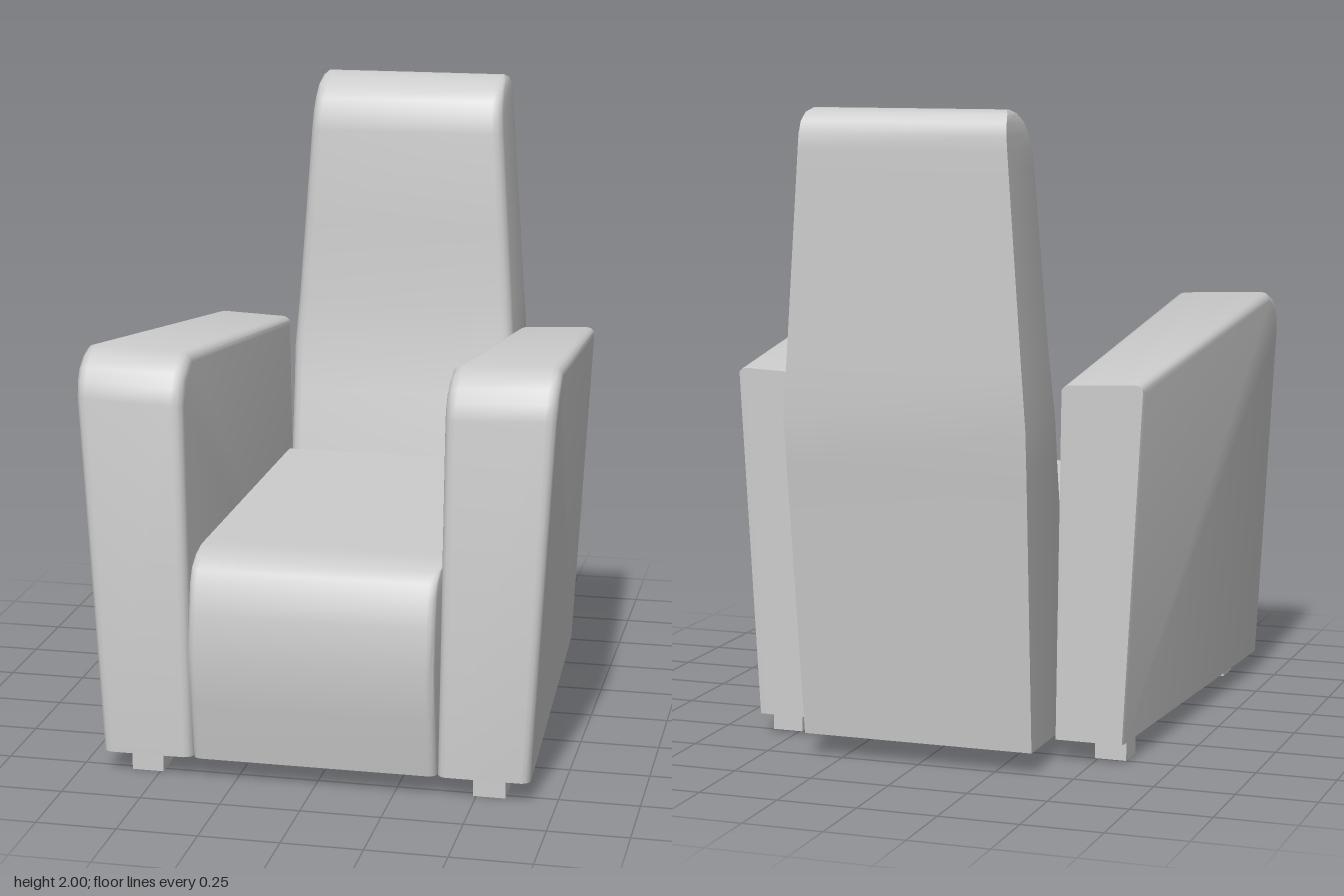
import * as THREE from 'three';
import { toCreasedNormals } from 'three/addons/utils/BufferGeometryUtils.js';

const FLOOR = 0.07;
const BACK = -0.58;

function fromTriangles(positions) {
  const geo = new THREE.BufferGeometry();
  geo.setAttribute('position', new THREE.Float32BufferAttribute(positions, 3));
  return toCreasedNormals(geo, 0.75);
}

// Cushion from level rows [y, frontZ, backZ, halfWidth]: rounded front corners, closed on top, open below
function cushion(rows, radius) {
  const rings = rows.map(([y, front, back, w]) => {
    const r = Math.min(radius, (front - back) / 2);
    const ring = [[-w, y, back]];
    for (const s of [-1, 1]) {
      for (let i = 0; i <= 3; i++) {
        const a = (s < 0 ? i : 3 - i) * Math.PI / 6;
        ring.push([s * (w - r + r * Math.cos(a)), y, front - r + r * Math.sin(a)]);
      }
    }
    ring.push([w, y, back]);
    return ring;
  });
  const out = [];
  const tri = (a, b, c) => out.push(...a, ...b, ...c);
  const n = rings[0].length;
  for (let j = 0; j < rings.length - 1; j++) {
    const lower = rings[j], upper = rings[j + 1];
    for (let i = 0; i < n; i++) {
      const k = (i + 1) % n;
      tri(lower[i], lower[k], upper[k]);
      tri(lower[i], upper[k], upper[i]);
    }
  }
  const top = rings[rings.length - 1];
  for (let i = 1; i < n - 1; i++) tri(top[0], top[i], top[i + 1]);
  return fromTriangles(out);
}

// Armrest: side profile [z, y] with rounded edges, flat back, open below, leaning outwards
function armrest(s) {
  const profile = [
    [-0.594, 0], [0.82, 0], [0.82, 1.2], [0.808, 1.25], [0.783, 1.29], [0.74, 1.322],
    [0.69, 1.34], [-0.594, 1.178],
  ];
  const bevel = 0.03, width = 0.3;
  const geo = new THREE.ExtrudeGeometry(
    new THREE.Shape(profile.map(([z, y]) => new THREE.Vector2(z, y))), {
      depth: width - 2 * bevel, bevelThickness: bevel,
      bevelSize: bevel, bevelOffset: -bevel, bevelSegments: 3,
    });
  geo.translate(0, 0, bevel - width / 2);
  geo.rotateY(-Math.PI / 2);
  const p = geo.attributes.position;
  const out = [];
  for (let i = 0; i < p.count; i += 3) {
    // Leave out the faces on the floor plane
    if (Math.max(p.getY(i), p.getY(i + 1), p.getY(i + 2)) < FLOOR) continue;
    for (let k = i; k < i + 3; k++) {
      const u = 0.5 + s * p.getX(k) / width;
      const rise = Math.max(p.getY(k) - FLOOR, 0);
      const z = Math.max(p.getZ(k), BACK);
      const inner = 0.384 + 0.014 * rise;
      const outer = 0.672 + 0.055 * rise - 0.05 * (0.82 - z);
      out.push(s * THREE.MathUtils.lerp(inner, outer, u), FLOOR + rise * (0.99 + 0.01 * u), z);
    }
  }
  return fromTriangles(out);
}

export function createModel() {
  const group = new THREE.Group();
  const upholstery = new THREE.MeshStandardMaterial({ color: 0xcccccc, side: THREE.DoubleSide });
  upholstery.name = 'upholstery grey';
  const add = (name, geo) => {
    const mesh = new THREE.Mesh(geo, upholstery);
    mesh.name = name;
    group.add(mesh);
    return mesh;
  };

  // Seat: flat top rolling over into a bulging front
  const seatProfile = [
    [FLOOR, 0.82], [0.25, 0.85], [0.42, 0.873], [0.55, 0.857], [0.64, 0.84],
    [0.68, 0.815], [0.706, 0.77], [0.719, 0.71], [0.72, 0.66],
  ];
  add('seat', cushion(
    seatProfile.map(([y, front]) => [y, front, -0.385 - (y - FLOOR) * 0.146, 0.383]), 0.025));

  // Backrest: tapers to a rolled top, slopes forward towards the seat
  add('backrest', cushion([
    [FLOOR, -0.385, -0.76, 0.37],
    [0.72, -0.48, -0.828, 0.38],
    [0.92, -0.526, -0.849, 0.383],
    [1.07, -0.555, -0.867, 0.385],
    [1.25, -0.576, -0.867, 0.372],
    [1.5, -0.589, -0.867, 0.355],
    [1.82, -0.603, -0.867, 0.333],
    [1.88, -0.612, -0.867, 0.329],
    [1.925, -0.635, -0.866, 0.326],
    [1.962, -0.67, -0.855, 0.323],
    [1.988, -0.72, -0.832, 0.317],
    [2.0, -0.77, -0.8, 0.305],
  ], 0.035));

  for (const s of [1, -1]) {
    const side = s > 0 ? 'left' : 'right';
    add(side + 'Armrest', armrest(s));

    // Feet: cubes reaching a little way up inside the armrests
    for (const [end, z] of [['Front', 0.725], ['Back', -0.45]]) {
      const foot = add(side + end + 'Foot', new THREE.BoxGeometry(0.1, 0.1, 0.1));
      foot.position.set(s * 0.54, 0.05, z);
    }
  }
  return group;
}
